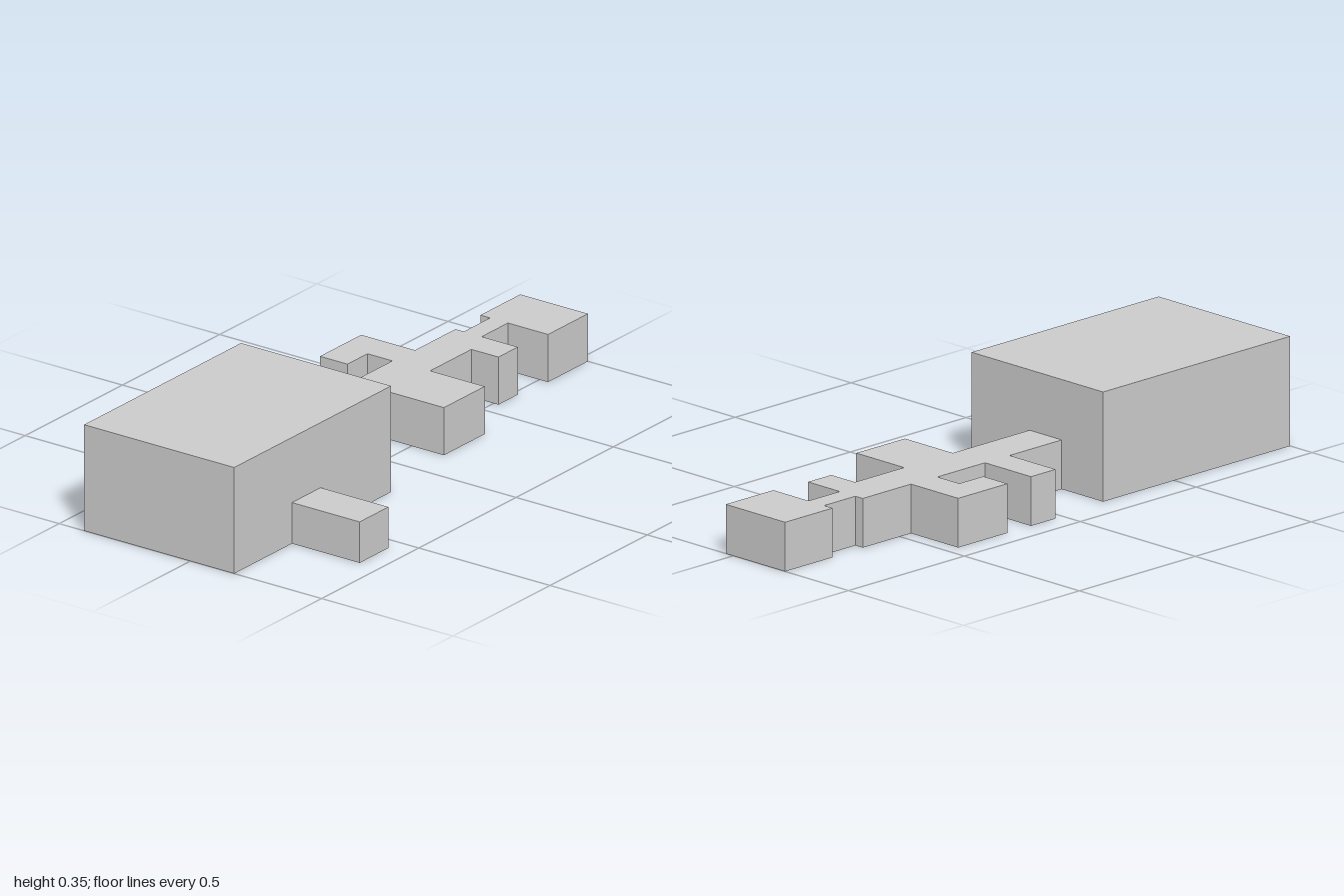
import * as THREE from 'three';

const material = new THREE.MeshStandardMaterial({ color: 0xcccccc, flatShading: true });

// Raises a floor outline, given as [x, z] corners, to a flat-topped block.
function raise(name, outline, height) {
  const shape = new THREE.Shape(outline.map(([x, z]) => new THREE.Vector2(x, -z)));
  const geometry = new THREE.ExtrudeGeometry(shape, { depth: height, bevelEnabled: false });
  geometry.rotateX(-Math.PI / 2);
  const mesh = new THREE.Mesh(geometry, material);
  mesh.name = name;
  return mesh;
}

const rect = (x0, x1, z0, z1) => [[x0, z1], [x1, z1], [x1, z0], [x0, z0]];

export function createModel() {
  const model = new THREE.Group();
  model.name = 'buildingBlocks';

  // Tall hall at the front with its low side annex
  model.add(raise('mainHall', rect(-0.405, 0.167, 0.193, 1), 0.352));
  model.add(raise('sideAnnex', rect(0.167, 0.425, 0.555, 0.703), 0.136));

  // Long low corridor with its side rooms, ending in the rear room
  model.add(raise('corridorWing', [
    [-0.225, 0.193], [-0.085, 0.193],
    [-0.085, -0.138], [0.123, -0.138], [0.123, -0.348], [-0.085, -0.348], // large side room
    [-0.085, -0.56], [0.018, -0.56], [0.018, -0.66], [-0.12, -0.66],      // small side room
    [-0.12, -0.795], [0.033, -0.795], [0.033, -1], [-0.225, -1], [-0.225, -0.795], // rear room
    [-0.188, -0.795], [-0.188, -0.66], [-0.22, -0.66],                   // neck
    [-0.22, -0.452], [-0.425, -0.452], [-0.425, -0.24], [-0.32, -0.24],
    [-0.32, -0.343], [-0.225, -0.343],                                   // hooked room
    [-0.225, -0.138], [-0.425, -0.138], [-0.425, -0.032], [-0.225, -0.032], // plain room
  ], 0.158));

  return model;
}
